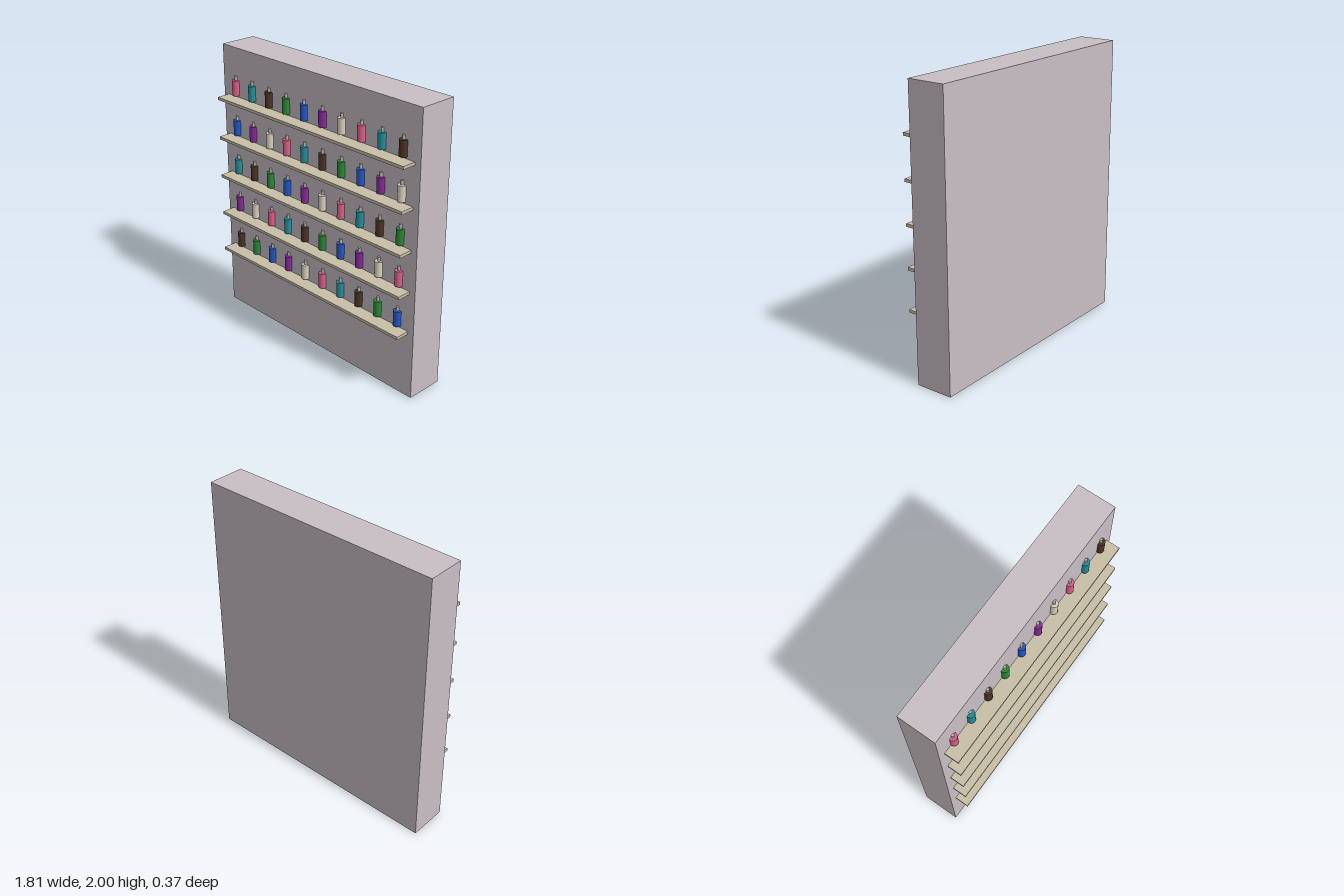
import * as THREE from 'three';

const material = (name, color) => {
  const m = new THREE.MeshStandardMaterial({ color });
  m.name = name;
  return m;
};

export function createModel() {
  const model = new THREE.Group();
  model.name = 'bottleDisplayWall';

  const wallMat = material('mauve grey', 0xc9bfc5);
  const shelfMat = material('pale wood', 0xc9bfa8);
  const neckMat = material('light grey', 0xbcb8b8);
  const bottleMats = [
    material('pink', 0xe0608c), material('teal', 0x22929c), material('brown', 0x4c3424),
    material('green', 0x2a8a38), material('blue', 0x2258c8), material('purple', 0x862a9a),
    material('cream', 0xdcd4c0),
  ];

  const add = (parent, name, geometry, mat, x, y, z) => {
    const mesh = new THREE.Mesh(geometry, mat);
    mesh.name = name;
    mesh.position.set(x, y, z);
    parent.add(mesh);
  };

  // Thick back wall
  add(model, 'wall', new THREE.BoxGeometry(1.814, 2, 0.27), wallMat, 0, 1, -0.05);

  const shelfGeo = new THREE.BoxGeometry(1.72, 0.021, 0.1);
  const bodyGeo = new THREE.CylinderGeometry(0.028, 0.028, 0.108, 20);
  const neckGeo = new THREE.CylinderGeometry(0.01, 0.01, 0.029, 12);

  // Five shelves from the top down, each with ten bottles in a repeating colour cycle
  for (let row = 0; row < 5; row++) {
    const shelf = new THREE.Group();
    shelf.name = 'shelfRow';
    shelf.position.y = 1.64 - row * 0.291;
    model.add(shelf);
    add(shelf, 'shelf', shelfGeo, shelfMat, 0, 0, 0.135);
    for (let i = 0; i < 10; i++) {
      const bottle = new THREE.Group();
      bottle.name = 'bottle';
      bottle.position.set((i - 4.5) * 0.1717, 0.024, 0.091);
      shelf.add(bottle);
      add(bottle, 'bottleBody', bodyGeo, bottleMats[(row * 4 + i) % 7], 0, 0.054, 0);
      add(bottle, 'bottleNeck', neckGeo, neckMat, 0, 0.1225, 0);
    }
  }
  return model;
}
